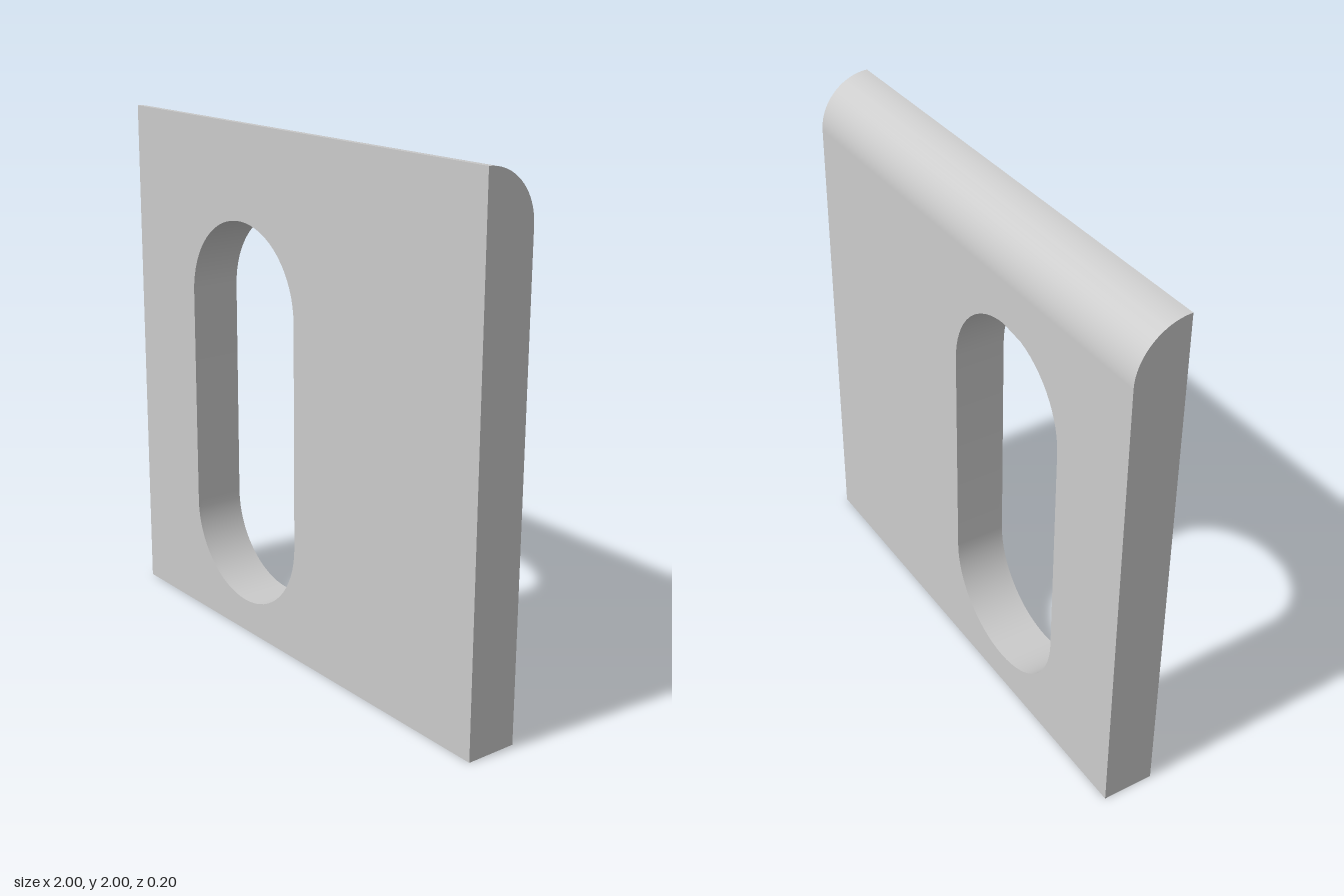
import * as THREE from 'three';
import { toCreasedNormals } from 'three/addons/utils/BufferGeometryUtils.js';

const HEIGHT = 2, HALF_WIDTH = 1, THICKNESS = 0.2;

export function createModel() {
  const group = new THREE.Group();
  group.name = 'slottedPlate';

  // Square outline
  const outline = new THREE.Shape();
  outline.moveTo(-HALF_WIDTH, 0);
  outline.lineTo(HALF_WIDTH, 0);
  outline.lineTo(HALF_WIDTH, HEIGHT);
  outline.lineTo(-HALF_WIDTH, HEIGHT);
  outline.closePath();

  // Off-centre upright slot with round ends
  const slotX = -0.3, slotR = 0.323, slotLow = 0.453, slotHigh = 1.317;
  const slot = new THREE.Path();
  slot.absarc(slotX, slotHigh, slotR, 0, Math.PI, false);
  slot.absarc(slotX, slotLow, slotR, Math.PI, Math.PI * 2, false);
  slot.closePath();
  outline.holes.push(slot);

  const geometry = new THREE.ExtrudeGeometry(outline, {
    depth: 1, steps: 20, curveSegments: 16, bevelEnabled: false,
  });

  // Bend the top edge into a quarter round that falls towards the back
  const p = geometry.attributes.position;
  for (let i = 0; i < p.count; i++) {
    const a = (1 - p.getZ(i)) * Math.PI / 2;
    p.setZ(i, THICKNESS / 2 - THICKNESS * Math.sin(a));
    if (p.getY(i) > HEIGHT - 0.001) p.setY(i, HEIGHT - THICKNESS * (1 - Math.cos(a)));
  }

  const plate = new THREE.Mesh(
    toCreasedNormals(geometry, 0.5),
    new THREE.MeshStandardMaterial({ color: 0xcccccc }),
  );
  plate.name = 'plate';
  group.add(plate);
  return group;
}
